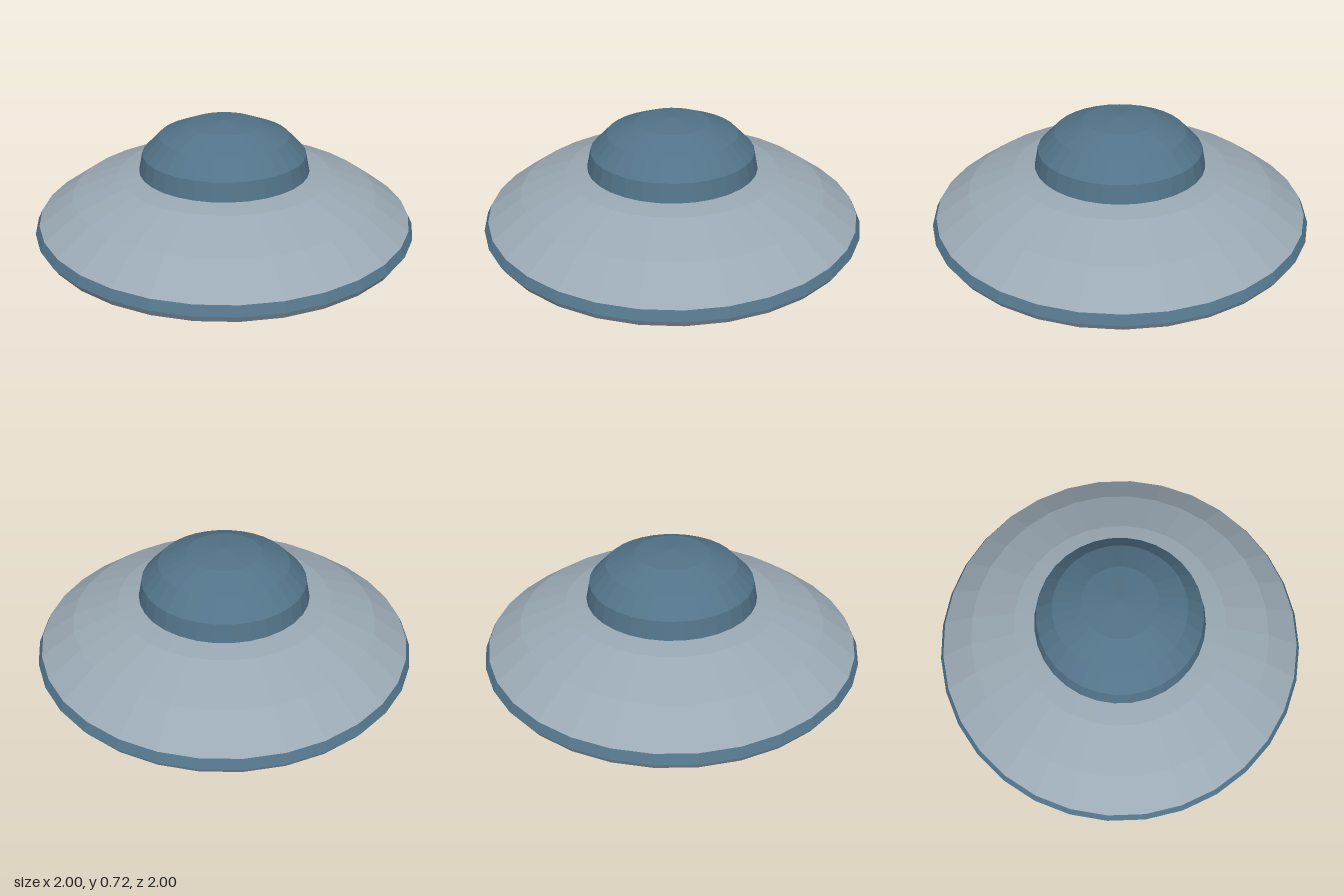
import * as THREE from 'three';

const SIDES = 32;

// Faceted ring surface from a bottom-to-top profile of [radius, height]
function turned(name, profile, material) {
  const points = profile.map(([r, y]) => new THREE.Vector2(r, y));
  const geometry = new THREE.LatheGeometry(points, SIDES).toNonIndexed();
  geometry.computeVertexNormals();
  const mesh = new THREE.Mesh(geometry, material);
  mesh.name = name;
  return mesh;
}

export function createModel() {
  const paint = (name, color) => {
    const m = new THREE.MeshStandardMaterial({ color });
    m.name = name;
    return m;
  };
  const silver = paint('silver hull', 0x9aa9b4);
  const blue = paint('blue glass', 0x527388);

  const saucer = new THREE.Group();
  saucer.name = 'saucer';
  saucer.add(
    // Shallow bowl below the rim
    turned('underside', [[0, 0], [0.44, 0.003], [0.72, 0.055], [0.977, 0.15]], silver),
    // Rim: silver lower bevel, blue upper bevel
    turned('lowerRim', [[0.977, 0.15], [1, 0.188]], silver),
    turned('upperRim', [[1, 0.188], [0.977, 0.232]], blue),
    // Sloping upper hull, closed beneath the dome
    turned('upperHull', [[0.977, 0.232], [0.8, 0.352], [0.56, 0.44], [0.45, 0.456], [0, 0.46]], silver),
    // Cockpit dome
    turned('dome', [[0.45, 0.456], [0.43, 0.55], [0.34, 0.64], [0.192, 0.7], [0, 0.72]], blue),
  );
  return saucer;
}
